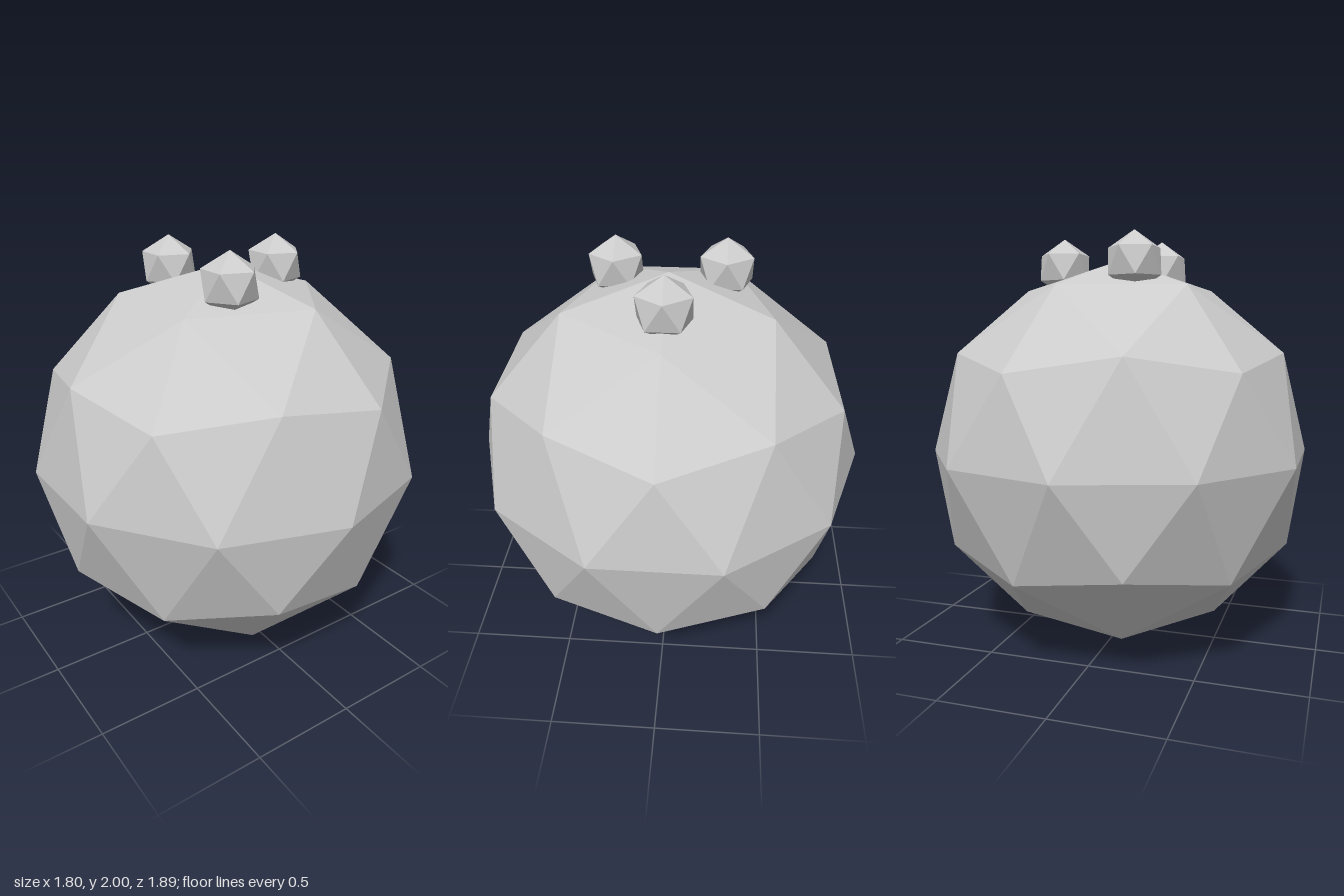
import * as THREE from 'three';

const stone = new THREE.MeshStandardMaterial({ color: 0xcccccc });
stone.name = 'lightGrey';

// Faceted ball standing on one vertex, with an upper-ring vertex towards +x
function facetedBall(name, radius, detail, x, y, z) {
  const geometry = new THREE.IcosahedronGeometry(radius, detail);
  geometry.rotateZ(-Math.atan(2 / (1 + Math.sqrt(5))));
  geometry.computeVertexNormals(); // unshared corners give flat facets
  const mesh = new THREE.Mesh(geometry, stone);
  mesh.name = name;
  mesh.position.set(x, y, z);
  return mesh;
}

export function createModel() {
  const model = new THREE.Group();
  model.name = 'ballWithKnobs';

  // Large body
  const bodyRadius = 0.945;
  model.add(facetedBall('body', bodyRadius, 1, 0, bodyRadius, 0));

  // Three small knobs in a ring near the top
  const knobRadius = 0.142;
  const ringRadius = 0.293;
  for (let i = 0; i < 3; i++) {
    const angle = (i * Math.PI * 2) / 3;
    model.add(facetedBall(`knob${i + 1}`, knobRadius, 0,
      ringRadius * Math.cos(angle), 2 - knobRadius, ringRadius * Math.sin(angle)));
  }
  return model;
}
